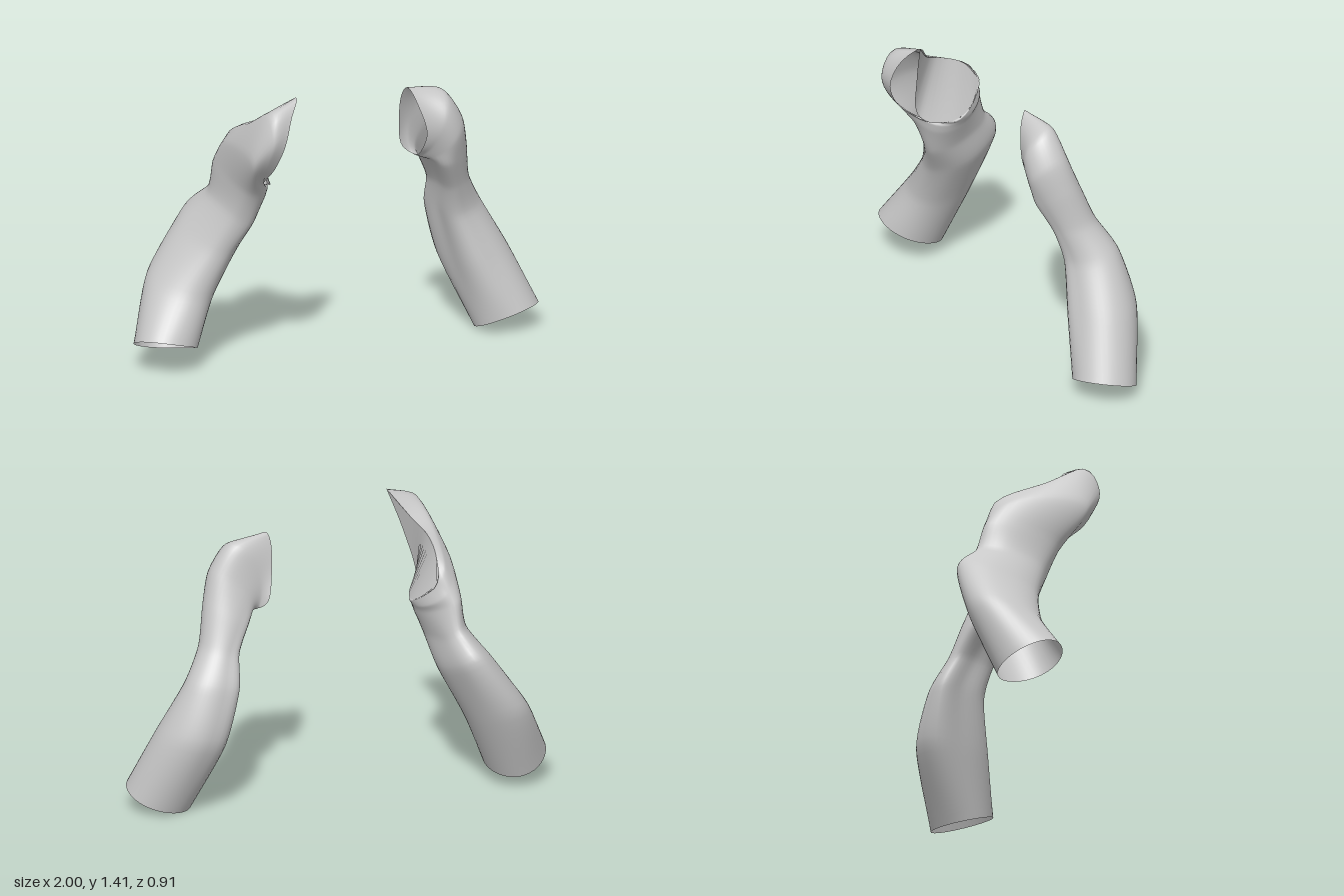
import * as THREE from 'three';

const V = (p) => new THREE.Vector3(...p);
const SIDES = 40, STEPS = 49;

// Smooth closed ring through 4 points (outer, front, inner, back) or a longer loop in that order;
// fullness squares off the two inner corners of a 4-point ring
function ring(points, fullness) {
  const p = points.map(V);
  if (p.length > 4) {
    const curve = new THREE.CatmullRomCurve3(p, true, 'catmullrom', 0.5);
    return Array.from({ length: SIDES }, (_, i) => curve.getPoint(i / SIDES));
  }
  const [o, f, n, b] = p;
  const mid = (s) => o.clone().add(n).addScaledVector(f, s).addScaledVector(b, s).multiplyScalar(0.25);
  const centre = mid(1), twist = mid(-1);
  const across = o.clone().sub(n).multiplyScalar(0.5), along = f.clone().sub(b).multiplyScalar(0.5);
  return Array.from({ length: SIDES }, (_, i) => {
    const a = (i / SIDES) * Math.PI * 2;
    const k = Math.cos(a) < 0 ? 1 + fullness * Math.sin(2 * a) ** 2 : 1;
    return centre.clone().addScaledVector(across, k * Math.cos(a))
      .addScaledVector(along, k * Math.sin(a)).addScaledVector(twist, Math.cos(2 * a));
  });
}

function surface(pos, index) {
  const g = new THREE.BufferGeometry();
  g.setAttribute('position', new THREE.Float32BufferAttribute(pos, 3));
  g.setIndex(index);
  g.computeVertexNormals();
  return g;
}

// Open tube of cloth through the rings, from cuff to armhole
function loft(rings, flip) {
  const columns = Array.from({ length: SIDES }, (_, i) =>
    new THREE.CatmullRomCurve3(rings.map((r) => r[i]), false, 'catmullrom', 0.35));
  const pos = [], index = [];
  for (let j = 0; j <= STEPS; j++) {
    for (const c of columns) pos.push(...c.getPoint(j / STEPS).toArray());
  }
  for (let j = 0; j < STEPS; j++) {
    for (let i = 0; i < SIDES; i++) {
      const a = j * SIDES + i, b = j * SIDES + (i + 1) % SIDES, c = a + SIDES, d = b + SIDES;
      if (flip) index.push(a, b, c, b, d, c);
      else index.push(a, c, b, b, c, d);
    }
  }
  return surface(pos, index);
}

// Sheet stretched between two edges that share their end points
function sheet(upper, lower) {
  const n = 24, pos = [], index = [];
  const [u, l] = [upper, lower].map((e) => new THREE.CatmullRomCurve3(e.map(V)).getPoints(n));
  for (let i = 0; i <= n; i++) pos.push(...u[i].toArray(), ...l[i].toArray());
  for (let i = 0; i < n; i++) {
    const a = 2 * i;
    index.push(a, a + 1, a + 2, a + 1, a + 3, a + 2);
  }
  return surface(pos, index);
}

export function createModel() {
  const group = new THREE.Group();
  const cloth = new THREE.MeshStandardMaterial({ color: 0xc8c8c8, side: THREE.DoubleSide });
  cloth.name = 'light grey cloth';
  const add = (name, geometry) => {
    const mesh = new THREE.Mesh(geometry, cloth);
    mesh.name = name;
    group.add(mesh);
  };

  // Left sleeve, cuff first, with a flattened inner side
  const fullness = [0, 0.16, 0.23, 0.22, 0.17, 0, 0];
  const left = [
    [[1.0, 0.085, 0.3], [0.84, 0.115, 0.455], [0.68, 0.025, 0.3], [0.84, 0.005, 0.16]],
    [[0.89, 0.40, 0.19], [0.74, 0.38, 0.355], [0.6, 0.34, 0.19], [0.73, 0.37, 0.015]],
    [[0.765, 0.65, 0.15], [0.64, 0.61, 0.287], [0.54, 0.61, 0.15], [0.63, 0.63, 0.03]],
    [[0.66, 0.81, 0.2], [0.57, 0.77, 0.31], [0.5, 0.77, 0.2], [0.565, 0.79, 0.097]],
    [[0.605, 1.0, 0.25], [0.505, 0.93, 0.365], [0.42, 0.91, 0.25], [0.49, 0.93, 0.134]],
    [[0.555, 1.15, 0.27], [0.46, 1.05, 0.4], [0.38, 0.935, 0.24], [0.42, 1.05, 0.175]],
    [[0.46, 1.28, 0.26], [0.40, 1.14, 0.385], [0.36, 0.943, 0.225], [0.35, 1.13, 0.187]],
    [[0.28, 1.315, 0.25], [0.3, 1.24, 0.3], [0.335, 1.1, 0.33], [0.34, 0.99, 0.28],
      [0.35, 0.95, 0.21], [0.31, 1.0, 0.157], [0.275, 1.15, 0.188], [0.262, 1.27, 0.222]],
  ];
  add('leftSleeve', loft(left.map((r, i) => ring(r, fullness[i])), false));

  // Right sleeve, with a wide armhole and a pointed cap
  const tip = [-0.395, 1.41, 0.24];
  const rim = [
    tip, [-0.47, 1.33, 0.3], [-0.52, 1.2, 0.315], [-0.535, 1.07, 0.25],
    [-0.53, 0.98, 0.16], [-0.45, 0.94, 0.11], [-0.385, 0.93, 0.0], [-0.375, 0.97, -0.11],
    [-0.41, 1.06, -0.21], [-0.45, 1.165, -0.14], [-0.48, 1.235, -0.01], [-0.46, 1.29, 0.11],
  ];
  const right = [
    [[-1.0, 0.17, -0.2], [-0.84, 0.155, -0.05], [-0.695, 0.075, -0.2], [-0.84, 0.065, -0.365]],
    [[-0.85, 0.41, -0.27], [-0.71, 0.36, -0.08], [-0.565, 0.36, -0.26], [-0.7, 0.42, -0.455]],
    [[-0.69, 0.63, -0.2], [-0.665, 0.59, -0.08], [-0.58, 0.57, -0.04], [-0.48, 0.59, -0.1],
      [-0.445, 0.62, -0.23], [-0.465, 0.68, -0.39], [-0.54, 0.72, -0.425], [-0.65, 0.68, -0.34]],
    [[-0.595, 0.805, -0.1], [-0.585, 0.77, 0.0], [-0.52, 0.73, 0.04], [-0.455, 0.74, -0.01],
      [-0.43, 0.76, -0.12], [-0.44, 0.80, -0.27], [-0.49, 0.84, -0.31], [-0.565, 0.825, -0.23]],
    [[-0.59, 0.95, -0.02], [-0.52, 0.89, 0.105], [-0.395, 0.87, -0.06], [-0.49, 0.97, -0.27]],
    [[-0.625, 1.15, 0.14], [-0.57, 1.0, 0.17], [-0.383, 0.905, -0.03], [-0.48, 1.05, -0.23]],
    [[-0.56, 1.35, 0.24], [-0.58, 1.23, 0.31], [-0.575, 1.08, 0.24], [-0.5, 0.955, 0.12],
      [-0.38, 0.922, 0.0], [-0.383, 0.99, -0.145], [-0.46, 1.12, -0.2], [-0.54, 1.24, 0.03]],
  ];
  add('rightSleeve', loft([...right, rim].map((r) => ring(r, 0)), true));

  // Fold of cloth lying across the right armhole, leaving a slit behind the front flap
  add('armholeFold', sheet(
    [tip, rim[11], rim[10], rim[9], rim[8]],
    [tip, [-0.46, 1.2, 0.19], [-0.5, 0.98, 0.14], rim[5], rim[6], rim[7], rim[8]],
  ));
  return group;
}
